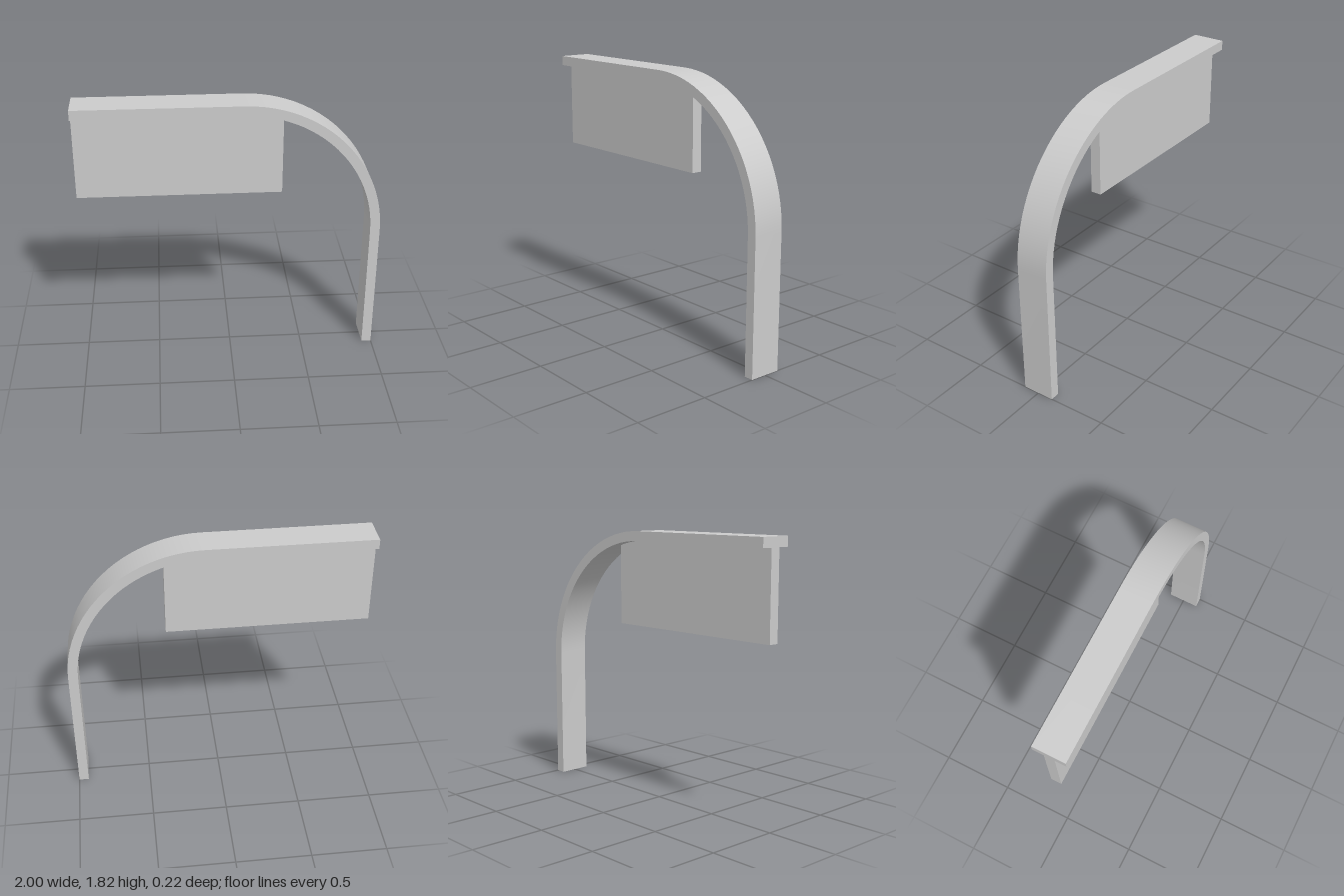
import * as THREE from 'three';
import { toCreasedNormals } from 'three/addons/utils/BufferGeometryUtils.js';

const TOP = 1.815, BAND = 0.065, CX = 0.09, R = 0.91, CY = TOP - R;
const INNER = R - BAND;

export function createModel() {
  const group = new THREE.Group();
  const material = new THREE.MeshStandardMaterial({ color: 0xcccccc });

  // Extrude a front profile, centred on z = 0
  function addProfile(name, shape, depth) {
    const geometry = new THREE.ExtrudeGeometry(shape, { depth, bevelEnabled: false, curveSegments: 12 });
    geometry.translate(0, 0, -depth / 2);
    const mesh = new THREE.Mesh(toCreasedNormals(geometry, Math.PI / 6), material);
    mesh.name = name;
    group.add(mesh);
  }

  // Bent flat bar: upright post, quarter bend and horizontal arm
  const bar = new THREE.Shape();
  bar.moveTo(1 - BAND, 0);
  bar.lineTo(1, 0);
  bar.lineTo(1, CY);
  bar.absarc(CX, CY, R, 0, Math.PI / 2, false);
  bar.lineTo(-1, TOP);
  bar.lineTo(-1, TOP - BAND);
  bar.lineTo(CX, TOP - BAND);
  bar.absarc(CX, CY, INNER, Math.PI / 2, 0, true);
  bar.closePath();
  addProfile('bentBar', bar, 0.22);

  // Sign panel hanging under the arm, its top following the bend
  const right = 0.345, bottom = 1.175;
  const panel = new THREE.Shape();
  panel.moveTo(-1, bottom);
  panel.lineTo(right, bottom);
  panel.absarc(CX, CY, INNER, Math.acos((right - CX) / INNER), Math.PI / 2, false);
  panel.lineTo(-1, TOP - BAND);
  panel.closePath();
  addProfile('hangingPanel', panel, 0.07);

  return group;
}
